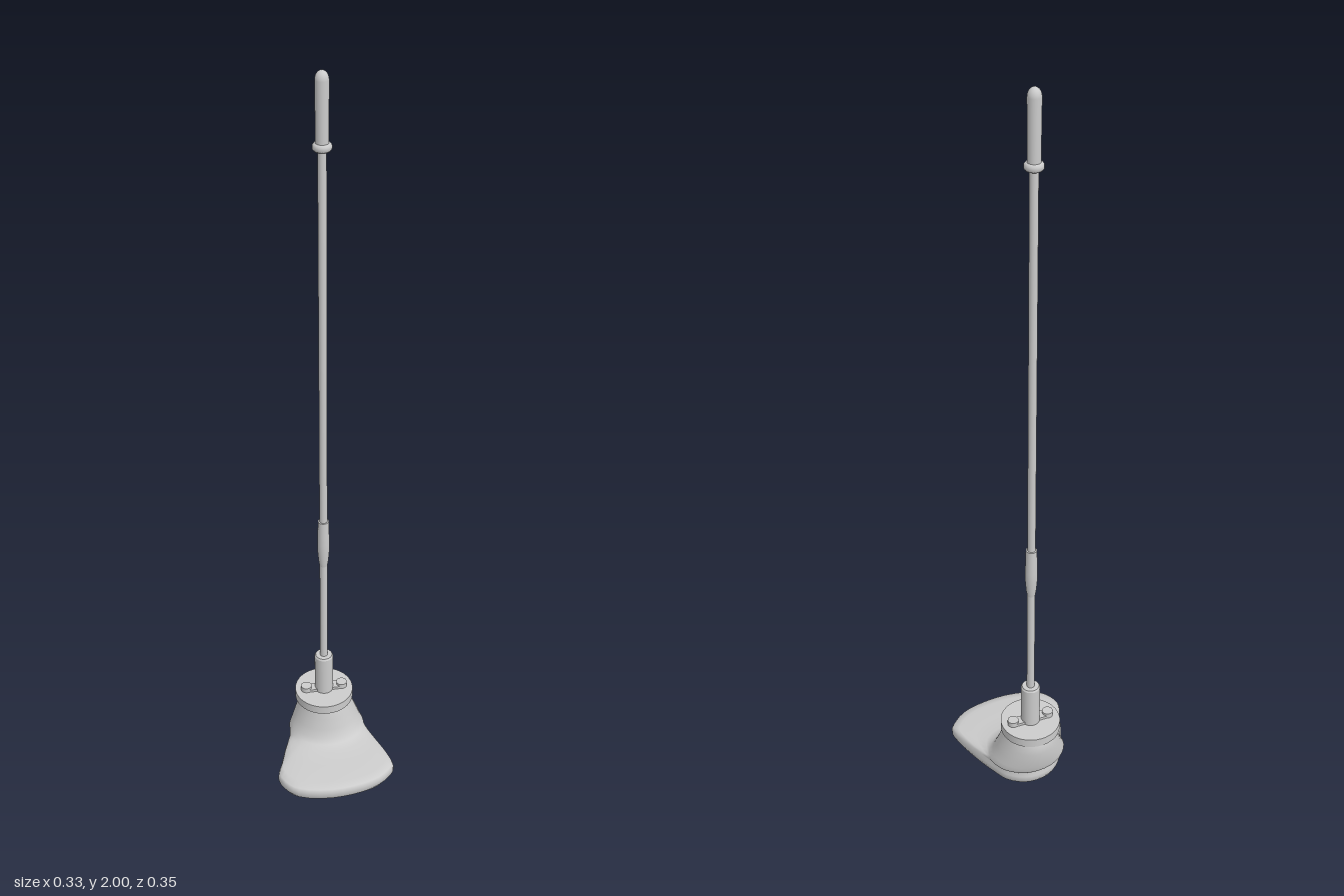
import * as THREE from 'three';

const AXIS_X = -0.004, AXIS_Z = -0.09;
const material = new THREE.MeshStandardMaterial({ color: 0xcccccc });

function addMesh(parent, name, geometry, x = 0, y = 0, z = 0) {
  const mesh = new THREE.Mesh(geometry, material);
  mesh.name = name;
  mesh.position.set(x, y, z);
  parent.add(mesh);
  return mesh;
}

// Lathe with hard profile corners where a point is repeated
function turned(profile, segments = 24) {
  return new THREE.LatheGeometry(profile.map(([r, y]) => new THREE.Vector2(r, y)), segments);
}

// Flared foot: a spread sole outline blended into oval ankle sections
function footGeometry() {
  const outline = [
    [0, -0.155], [-0.045, -0.145], [-0.08, -0.115], [-0.1, -0.08], [-0.125, -0.03], [-0.147, 0.035],
    [-0.164, 0.085], [-0.145, 0.13], [-0.115, 0.154], [-0.035, 0.172], [0.045, 0.168], [0.11, 0.15],
    [0.15, 0.12], [0.163, 0.1], [0.157, 0.06], [0.125, -0.03], [0.102, -0.08], [0.08, -0.12], [0.04, -0.148],
  ].map(([x, z]) => new THREE.Vector3(x, 0, z));
  const n = 48;
  const sole = new THREE.CatmullRomCurve3(outline, true).getPoints(n).slice(0, n);

  const soleRing = (y, s) => sole.map((p) => [p.x * s, y, (p.z - 0.01) * s + 0.01]);
  const ovalRing = (y, rx, back, front) => sole.map((p) => {
    const a = Math.atan2(p.x, p.z + 0.06);
    return [rx * Math.sin(a), y, (front + back) / 2 + ((front - back) / 2) * Math.cos(a)];
  });
  const blend = (a, b, t, y) => a.map((p, i) => [
    p[0] + (b[i][0] - p[0]) * t, y, p[2] + (b[i][2] - p[2]) * t]);

  const rim = soleRing(0.046, 0.975);
  const instep = ovalRing(0.066, 0.108, -0.163, 0.016);
  const rings = [
    soleRing(0, 0), soleRing(0.001, 0.6), soleRing(0.004, 0.88), soleRing(0.01, 0.96),
    soleRing(0.022, 1), soleRing(0.036, 1), rim,
    blend(rim, instep, 0.15, 0.051), blend(rim, instep, 0.55, 0.055), blend(rim, instep, 0.85, 0.059),
    instep,
    ovalRing(0.08, 0.1, -0.167, 0.004), ovalRing(0.105, 0.09, -0.171, -0.004),
    ovalRing(0.135, 0.078, -0.174, -0.011), ovalRing(0.155, 0.07, -0.172, -0.016),
    ovalRing(0.167, 0.066, -0.168, -0.02),
  ];
  const index = [];
  for (let r = 0; r < rings.length - 1; r++) {
    for (let i = 0; i < n; i++) {
      const j = (i + 1) % n;
      const a = r * n + i, b = r * n + j, c = b + n, d = a + n;
      index.push(a, b, c, a, c, d);
    }
  }
  const geometry = new THREE.BufferGeometry();
  geometry.setAttribute('position', new THREE.Float32BufferAttribute(rings.flat(2), 3));
  geometry.setIndex(index);
  geometry.computeVertexNormals();
  return geometry;
}

// Rounded bar lying flat, long in x
function barGeometry(halfLength, radius, height) {
  const shape = new THREE.Shape();
  shape.absarc(halfLength, 0, radius, -Math.PI / 2, Math.PI / 2);
  shape.absarc(-halfLength, 0, radius, Math.PI / 2, Math.PI * 1.5);
  const geometry = new THREE.ExtrudeGeometry(shape, { depth: height, bevelEnabled: false, curveSegments: 12 });
  return geometry.rotateX(-Math.PI / 2);
}

export function createModel() {
  const model = new THREE.Group();
  model.name = 'footedPole';
  addMesh(model, 'foot', footGeometry());

  // Everything above the foot shares one vertical axis
  const pole = new THREE.Group();
  pole.name = 'poleAssembly';
  pole.position.set(AXIS_X, 0, AXIS_Z);
  model.add(pole);

  addMesh(pole, 'anklePlate', new THREE.CylinderGeometry(0.082, 0.082, 0.026, 40), 0, 0.178, 0);
  addMesh(pole, 'clampBar', barGeometry(0.051, 0.014, 0.009), 0, 0.19, 0);
  for (const side of [-1, 1]) {
    addMesh(pole, side < 0 ? 'rightBolt' : 'leftBolt',
      new THREE.CylinderGeometry(0.015, 0.015, 0.016, 20), side * 0.051, 0.198, 0);
  }

  // Socket with a small chamfer at the top
  addMesh(pole, 'socket', turned([
    [0.026, 0.185], [0.026, 0.312], [0.026, 0.312], [0.023, 0.317], [0.023, 0.317], [0, 0.317]]));

  addMesh(pole, 'shaft', new THREE.CylinderGeometry(0.0105, 0.0105, 1.53, 20), 0, 1.075, 0);

  // Swollen sleeve partway up the shaft
  addMesh(pole, 'shaftSleeve', turned([
    [0.0105, 0.635], [0.013, 0.65], [0.016, 0.685], [0.0165, 0.71], [0.0155, 0.74],
    [0.0145, 0.782], [0.0145, 0.782], [0.01, 0.782]]));

  addMesh(pole, 'gripCollar', turned([
    [0.009, 1.815], [0.019, 1.815], [0.023, 1.82], [0.023, 1.828], [0.019, 1.833], [0.014, 1.833]]));

  // Grip with a domed end
  const grip = [[0.0155, 1.83], [0.0165, 1.978]];
  for (let i = 1; i <= 6; i++) {
    const a = (i / 6) * Math.PI / 2;
    grip.push([Math.max(0, 0.0165 * Math.cos(a)), 1.978 + 0.022 * Math.sin(a)]);
  }
  addMesh(pole, 'grip', turned(grip));

  return model;
}
